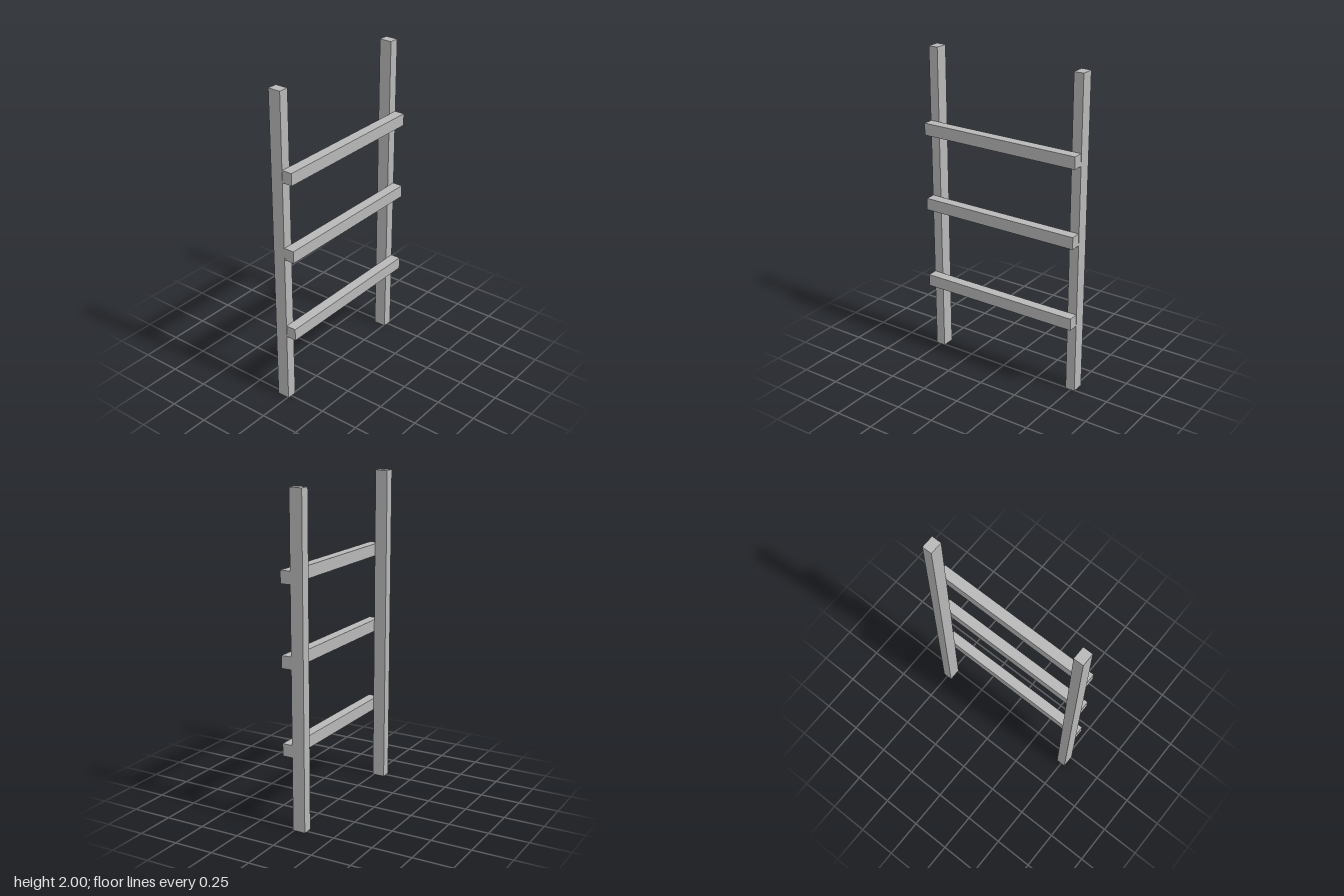
import * as THREE from 'three';

export function createModel() {
  const model = new THREE.Group();
  model.name = 'ladder';
  const grey = new THREE.MeshStandardMaterial({ color: 0xb8b8b8 });
  grey.name = 'light grey';

  function addBeam(name, size, position) {
    const beam = new THREE.Mesh(new THREE.BoxGeometry(...size), grey);
    beam.name = name;
    beam.position.set(...position);
    model.add(beam);
  }

  // Upright rails
  for (const side of [1, -1]) {
    addBeam(side > 0 ? 'leftRail' : 'rightRail', [0.062, 2, 0.08], [side * 0.497, 1, -0.033]);
  }

  // Rungs fixed to the front of the rails
  [['lowerRung', 0.489], ['middleRung', 1.015], ['upperRung', 1.503]].forEach(([name, y]) => {
    addBeam(name, [1.052, 0.076, 0.065], [0, y, 0.0395]);
  });

  return model;
}
